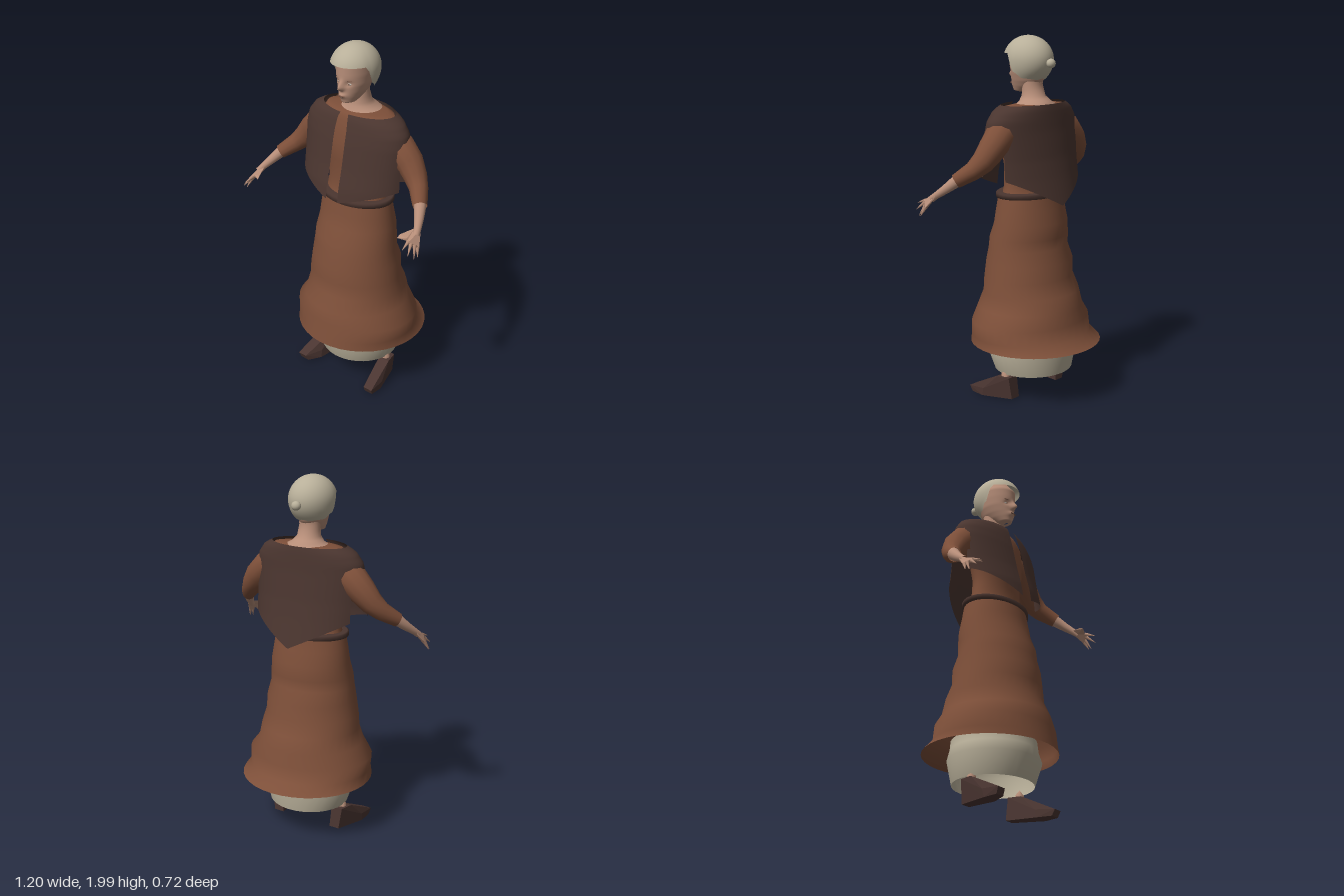
import * as THREE from 'three';
import { ConvexGeometry } from 'three/addons/geometries/ConvexGeometry.js';

const V = (x, y, z) => new THREE.Vector3(x, y, z);
const { lerp, smoothstep, clamp } = THREE.MathUtils;

function material(name, color, side = THREE.FrontSide) {
  const m = new THREE.MeshStandardMaterial({ color, side });
  m.name = name;
  return m;
}

// Surface through rows of points; skip(a, b, c, d) leaves out a cell
function gridSurface(rows, closed = true, skip = () => false) {
  const n = rows[0].length, pos = [], index = [];
  rows.forEach(r => r.forEach(p => pos.push(p.x, p.y, p.z)));
  for (let i = 0; i < rows.length - 1; i++) {
    for (let j = 0; j < (closed ? n : n - 1); j++) {
      const k = (j + 1) % n;
      if (skip(rows[i][j], rows[i + 1][k])) continue;
      const a = i * n + j, b = i * n + k, c = (i + 1) * n + k, d = (i + 1) * n + j;
      index.push(a, b, c, a, c, d);
    }
  }
  const g = new THREE.BufferGeometry();
  g.setAttribute('position', new THREE.Float32BufferAttribute(pos, 3));
  g.setIndex(index);
  g.computeVertexNormals();
  return g;
}

// Point on an oval ring [y, half width, front z, back z] at angle a from the front
const ovalPoint = ([y, w, f, b], a) => V(w * Math.sin(a), y, (f + b) / 2 + (f - b) / 2 * Math.cos(a));

// Rings listed from bottom to top, with linear steps in between
function loft(rings, seg = 32, steps = 2, shift = p => p) {
  const rows = [];
  for (let i = 0; i <= (rings.length - 1) * steps; i++) {
    const k = Math.min(Math.floor(i / steps), rings.length - 2), t = i / steps - k;
    const ring = rings[k].map((v, m) => lerp(v, rings[k + 1][m], t));
    rows.push(Array.from({ length: seg }, (_, j) => shift(ovalPoint(ring, j / seg * Math.PI * 2))));
  }
  return gridSurface(rows);
}

// Tapered tube along [x, y, z, radius] points
function limb(points, seg = 12) {
  const c = points.map(p => V(p[0], p[1], p[2]));
  return gridSurface(points.map((p, i) => {
    const t = c[Math.min(i + 1, c.length - 1)].clone().sub(c[Math.max(i - 1, 0)]).normalize();
    const u = V(0, 0, 1).addScaledVector(t, -t.z).normalize(), v = t.clone().cross(u);
    return Array.from({ length: seg }, (_, j) => {
      const a = j / seg * Math.PI * 2;
      return c[i].clone().addScaledVector(u, p[3] * Math.cos(a)).addScaledVector(v, p[3] * Math.sin(a));
    });
  }));
}

// Sleeveless overgarment, open at the front and under the arms
function vestGeometry() {
  const seg = 60, rowsN = 24, rows = [];
  const profile = [[1.64, 0.225, 0.14, -0.105], [1.615, 0.28, 0.155, -0.11], [1.56, 0.322, 0.17, -0.115],
    [1.5, 0.332, 0.185, -0.12], [1.35, 0.333, 0.215, -0.14], [1.25, 0.335, 0.24, -0.16], [1.1, 0.335, 0.262, -0.195]];
  const ringAt = y => {
    let k = 0;
    while (k < profile.length - 2 && y < profile[k + 1][0]) k++;
    const t = (y - profile[k][0]) / (profile[k + 1][0] - profile[k][0]);
    return profile[k].map((v, m) => lerp(v, profile[k + 1][m], t));
  };
  for (let i = rowsN; i >= 0; i--) {
    rows.push(Array.from({ length: seg + 1 }, (_, j) => {
      const a = lerp(0.12, Math.PI * 2 - 0.12, j / seg);
      const hem = 1.27 - (1 - Math.abs(Math.sin(a))) * (Math.cos(a) > 0 ? 0.11 : 0.17);
      return ovalPoint(ringAt(lerp(1.64, hem, i / rowsN)), a);
    }));
  }
  return gridSurface(rows, false, (p, q) => {
    const y = (p.y + q.y) / 2, z = (p.z + q.z) / 2, x = Math.abs(p.x + q.x) / 2;
    return y < 1.5 && x > 0.2 && z > -0.04 && z < 0.085;
  });
}

// Head covering whose lower edge leaves the face free
function capGeometry() {
  const rows = [], seg = 48;
  for (let i = 16; i >= 0; i--) {
    rows.push(Array.from({ length: seg }, (_, j) => {
      const a = j / seg * Math.PI * 2, d = Math.acos(Math.cos(a)) * 180 / Math.PI;
      const edge = 1.905 - 0.095 * smoothstep(d, 68, 90) - 0.035 * smoothstep(d, 88, 120) - 0.012 * smoothstep(d, 120, 180);
      const low = Math.acos(clamp((edge - 1.87) / (edge > 1.87 ? 0.13 : 0.17), -1, 1));
      const phi = Math.max(low * i / 16, 0.001), c = Math.cos(phi);
      const s = Math.sin(phi);
      return V(0.126 * s * Math.sin(a), 1.87 + c * (c > 0 ? 0.13 : 0.17), 0.05 + 0.143 * s * Math.cos(a) + (c < 0 ? c * c * 0.06 : 0));
    }));
  }
  return gridSurface(rows);
}

export function createModel() {
  const model = new THREE.Group();
  const brown = material('brown cloth', 0x7d4f39, THREE.DoubleSide);
  const dark = material('dark cloth', 0x4a352f, THREE.DoubleSide);
  const linen = material('pale linen', 0xb8af99, THREE.DoubleSide);
  const skin = material('skin', 0xb68d78);
  const shoeLeather = material('shoe leather', 0x4a3531);
  const eyeWhite = material('eye white', 0xc4bcb2);
  const browHair = material('brow and lip', 0x7c5848);
  const add = (name, geo, mat, parent = model) => {
    const m = new THREE.Mesh(geo, mat);
    m.name = name;
    parent.add(m);
    return m;
  };

  // Clothing of the body
  add('skirt', loft([[0.315, 0.37, 0.36, -0.36], [0.36, 0.352, 0.352, -0.285], [0.44, 0.362, 0.338, -0.262],
    [0.515, 0.3, 0.328, -0.248], [0.6, 0.284, 0.287, -0.222], [0.68, 0.272, 0.28, -0.178], [0.77, 0.258, 0.275, -0.185],
    [0.85, 0.246, 0.252, -0.145], [0.91, 0.24, 0.248, -0.152], [0.99, 0.23, 0.215, -0.147], [1.07, 0.219, 0.2, -0.128],
    [1.145, 0.205, 0.188, -0.118]], 36, 1), brown);
  add('underskirt', loft([[0.148, 0.225, 0.232, -0.195], [0.27, 0.265, 0.27, -0.213], [0.33, 0.24, 0.255, -0.205],
    [0.38, 0.235, 0.25, -0.2]], 32, 1), linen);
  add('bodice', loft([[1.13, 0.195, 0.165, -0.095], [1.2, 0.18, 0.145, -0.065], [1.3, 0.175, 0.145, -0.06],
    [1.42, 0.2, 0.155, -0.075], [1.52, 0.225, 0.145, -0.095], [1.59, 0.235, 0.13, -0.098], [1.63, 0.21, 0.115, -0.095],
    [1.64, 0.11, 0.09, -0.085]]), brown);
  add('belt', loft([[1.135, 0.2, 0.185, -0.115], [1.137, 0.222, 0.197, -0.125], [1.16, 0.224, 0.197, -0.125],
    [1.165, 0.215, 0.19, -0.12], [1.165, 0.18, 0.15, -0.08]], 32, 1), dark);
  add('vest', vestGeometry(), dark);

  // Neck and head, with the nose, brow hollow and chin raised by a rule
  add('neck', loft([[1.63, 0.135, 0.1, -0.1], [1.65, 0.09, 0.09, -0.085], [1.68, 0.064, 0.08, -0.05],
    [1.74, 0.058, 0.075, -0.03], [1.8, 0.06, 0.075, -0.04]]), skin);
  const bump = (v, w) => Math.exp(-v * v / (w * w));
  const face = p => {
    if (p.z < 0.08) return p;
    p.z += 0.033 * bump(p.x, 0.014) * bump(p.y - 1.784, p.y > 1.784 ? 0.03 : 0.012);
    p.z += 0.012 * bump(p.x, 0.025) * bump(p.y - 1.742, 0.012);
    p.z -= 0.01 * bump(Math.abs(p.x) - 0.035, 0.018) * bump(p.y - 1.808, 0.012);
    return p;
  };
  add('head', loft([[1.695, 0.005, 0.125, 0.1], [1.702, 0.036, 0.148, 0.05], [1.73, 0.054, 0.156, -0.01],
    [1.76, 0.069, 0.158, -0.04], [1.8, 0.083, 0.16, -0.06], [1.85, 0.09, 0.163, -0.07], [1.9, 0.092, 0.163, -0.07],
    [1.95, 0.065, 0.125, -0.03], [1.975, 0.005, 0.055, 0.045]], 64, 5, face), skin);
  const blob = (name, mat, at, size, parent = model) => {
    const m = add(name, new THREE.SphereGeometry(1, 16, 10), mat, parent);
    m.position.set(...at);
    m.scale.set(...size);
    return m;
  };
  for (const s of [-1, 1]) {
    blob('eye', eyeWhite, [s * 0.035, 1.807, 0.14], [0.013, 0.005, 0.005]).rotation.y = s * 0.3;
    blob('iris', browHair, [s * 0.035, 1.807, 0.1435], [0.004, 0.004, 0.003]);
    blob('eyebrow', browHair, [s * 0.037, 1.828, 0.147], [0.018, 0.003, 0.004]).rotation.y = s * 0.35;
  }
  blob('lips', browHair, [0, 1.742, 0.164], [0.024, 0.004, 0.006]);
  add('cap', capGeometry(), linen);
  blob('hairBun', linen, [0, 1.855, -0.107], [0.027, 0.025, 0.024]);

  // Left arm and foot; the right ones are mirrored copies
  const buildSide = () => {
    const side = new THREE.Group();
    add('sleeve', limb([[0.18, 1.53, 0.02, 0.07], [0.27, 1.48, 0.015, 0.085], [0.335, 1.42, 0.015, 0.075],
      [0.385, 1.36, 0.03, 0.063], [0.43, 1.315, 0.06, 0.05], [0.49, 1.262, 0.125, 0.038]]), brown, side);
    add('forearm', limb([[0.46, 1.29, 0.095, 0.034], [0.49, 1.26, 0.125, 0.032], [0.52, 1.22, 0.17, 0.025],
      [0.545, 1.185, 0.215, 0.019], [0.555, 1.165, 0.24, 0.019]]), skin, side);
    add('palm', new ConvexGeometry([V(0.53, 1.195, 0.21), V(0.56, 1.19, 0.205), V(0.565, 1.165, 0.215), V(0.535, 1.17, 0.23),
      V(0.54, 1.15, 0.3), V(0.555, 1.155, 0.3), V(0.59, 1.12, 0.255), V(0.578, 1.11, 0.258)]), skin, side);
    const fingers = [[[0.548, 1.152, 0.29], [0.555, 1.13, 0.35]], [[0.56, 1.142, 0.285], [0.58, 1.1, 0.335]],
      [[0.572, 1.132, 0.27], [0.593, 1.072, 0.3]], [[0.582, 1.122, 0.26], [0.6, 1.075, 0.28]]];
    for (const [a, b] of fingers) add('finger', limb([[...a, 0.011], [...b, 0.001]], 6), skin, side);
    add('thumb', new ConvexGeometry([V(0.53, 1.19, 0.215), V(0.55, 1.165, 0.22), V(0.545, 1.15, 0.285),
      V(0.535, 1.165, 0.29), V(0.49, 1.16, 0.31), V(0.495, 1.175, 0.29)]), skin, side);

    const shoe = [];
    for (const [w, y, z] of [[0.03, 0.01, -0.015], [0.046, 0.005, 0.16], [0.028, 0.01, 0.235], [0.028, 0.045, 0.25],
      [0.034, 0.135, -0.008], [0.034, 0.135, 0.065], [0.046, 0.05, 0.15]]) {
      for (const s of [-1, 1]) shoe.push(V(0.193 + s * w + 0.22 * z + 0.1 * y, y, z));
    }
    add('shoe', new ConvexGeometry(shoe), shoeLeather, side);
    add('ankle', limb([[0.213, 0.12, 0.035, 0.025], [0.213, 0.15, 0.04, 0.022], [0.213, 0.175, 0.04, 0.001]], 8), skin, side);
    return side;
  };
  const left = buildSide(), right = buildSide();
  left.name = 'leftArmAndFoot';
  right.name = 'rightArmAndFoot';
  right.scale.x = -1;
  model.add(left, right);
  return model;
}
